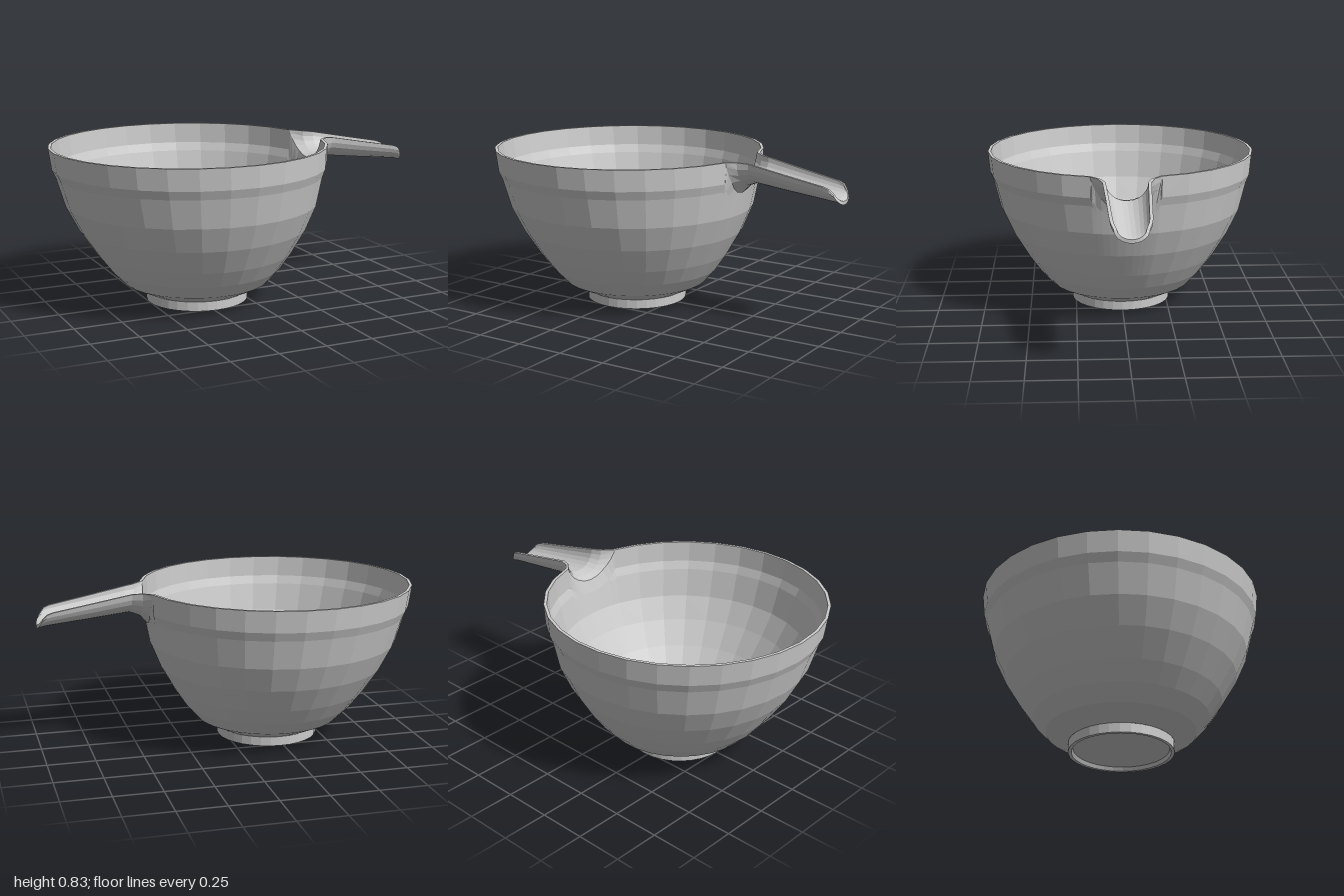
import * as THREE from 'three';

const RIM = 0.835, WALL = 0.016, NOTCH = 12, AROUND = 28;
const FLARE = Math.asin(0.18 / 0.725); // half angle of the spout mouth

// Wall profiles as [radius, height], bottom to top
const outerProfile = [[0.27, 0.05], [0.385, 0.105], [0.455, 0.18], [0.52, 0.27], [0.6, 0.4],
  [0.66, 0.53], [0.697, 0.68], [0.715, 0.725], [0.725, RIM]];
const innerProfile = outerProfile.map(([r, y], i) => [r - WALL, y + (i < 2 ? 0.015 : i < 5 ? 0.008 : 0)]);

// Bowl axis drifts slightly away from the spout with height
const axisX = (y) => -0.23 - 0.045 * y / RIM;

function radiusAt(profile, y) {
  for (let i = 1; i < profile.length; i++) {
    const [r0, y0] = profile[i - 1], [r1, y1] = profile[i];
    if (y <= y1 || i === profile.length - 1) return r0 + (r1 - r0) * (y - y0) / (y1 - y0);
  }
}

// Column angles: the spout mouth first, then the rest of the circle
const angles = [];
for (let j = 0; j <= NOTCH; j++) angles.push(-FLARE * Math.cos(Math.PI * j / NOTCH));
for (let j = 1; j <= AROUND; j++) angles.push(FLARE + (2 * Math.PI - 2 * FLARE) * j / AROUND);

// Rows of wall points; columns at the mouth are lowered to a U-shaped notch
function bowlRows(profile, notchDepth) {
  return profile.map(([, y]) => angles.map((t, j) => {
    const drop = j < NOTCH ? notchDepth * Math.pow(Math.sin(Math.PI * j / NOTCH), 1.5) : 0;
    const base = 0.53;
    const h = y > base ? base + (y - base) * (RIM - drop - base) / (RIM - base) : y;
    const r = radiusAt(profile, h);
    return [axisX(h) + r * Math.cos(t), h, r * Math.sin(t)];
  }));
}

// Spout stations: [x, half width, edge height, outer bottom, inner bottom, forward bulge]
const stations = [
  [0.468, 0.14, 0.833, 0.695, 0.725, 0],
  [0.52, 0.12, 0.828, 0.715, 0.735, 0],
  [0.72, 0.11, 0.79, 0.692, 0.711, 0],
  [0.92, 0.101, 0.753, 0.669, 0.687, 0.015],
  [0.95, 0.097, 0.742, 0.664, 0.682, 0.025],
  [0.972, 0.084, 0.718, 0.657, 0.675, 0.028],
];

function spoutRows(mouth, inner) {
  const rows = stations.map(([x, w, top, out, inn, bulge]) => {
    const width = inner ? w - WALL : w, depth = top - (inner ? inn : out);
    return mouth.map((_, j) => {
      const a = Math.PI * j / NOTCH, s = Math.sin(a);
      return [x + bulge * s, top - depth * s, -width * Math.cos(a)];
    });
  });
  return [mouth, ...rows];
}

// Surface through rows of points
function sheet(name, rows, flip = false) {
  const pos = [];
  for (let i = 0; i + 1 < rows.length; i++) {
    for (let j = 0; j + 1 < rows[i].length; j++) {
      const a = rows[i][j], b = rows[i + 1][j], c = rows[i][j + 1], d = rows[i + 1][j + 1];
      pos.push(...(flip ? [a, c, b, b, c, d] : [a, b, c, b, d, c]).flat());
    }
  }
  const geo = new THREE.BufferGeometry();
  geo.setAttribute('position', new THREE.Float32BufferAttribute(pos, 3));
  geo.computeVertexNormals();
  return part(name, geo);
}

function part(name, geo) {
  const mat = new THREE.MeshStandardMaterial({ color: 0xcccccc, flatShading: true, side: THREE.DoubleSide });
  const mesh = new THREE.Mesh(geo, mat);
  mesh.name = name;
  return mesh;
}

export function createModel() {
  const model = new THREE.Group();
  model.name = 'spoutedBowl';

  // Bowl: outer wall, inner wall, rim and floor
  const bowl = new THREE.Group();
  bowl.name = 'bowl';
  const outer = bowlRows(outerProfile, 0.185), inner = bowlRows(innerProfile, 0.125);
  const outerTop = outer[outer.length - 1], innerTop = inner[inner.length - 1];
  const floorY = inner[0][0][1];
  const centre = angles.map(() => [axisX(floorY), floorY, 0]);
  bowl.add(
    sheet('outerWall', outer),
    sheet('innerWall', inner, true),
    sheet('rim', [outerTop.slice(NOTCH), innerTop.slice(NOTCH)]),
    sheet('floor', [centre, inner[0]], true),
  );

  // Spout: open channel growing out of the notch in the rim
  const spout = new THREE.Group();
  spout.name = 'spout';
  const under = spoutRows(outerTop.slice(0, NOTCH + 1), false);
  const channel = spoutRows(innerTop.slice(0, NOTCH + 1), true);
  const edge = (rows, j) => rows.map((row) => row[j]);
  spout.add(
    sheet('spoutUnderside', under),
    sheet('spoutChannel', channel, true),
    sheet('spoutBackEdge', [edge(under, 0), edge(channel, 0)]),
    sheet('spoutFrontEdge', [edge(under, NOTCH), edge(channel, NOTCH)], true),
    sheet('spoutTip', [under[under.length - 1], channel[channel.length - 1]]),
  );

  // Foot ring with a recessed underside
  const footProfile = [[0, 0.02], [0.245, 0.02], [0.253, 0], [0.27, 0], [0.27, 0.05]];
  const foot = part('foot', new THREE.LatheGeometry(footProfile.map((p) => new THREE.Vector2(...p)), 32));
  foot.position.x = axisX(0.05);

  model.add(bowl, spout, foot);
  return model;
}
